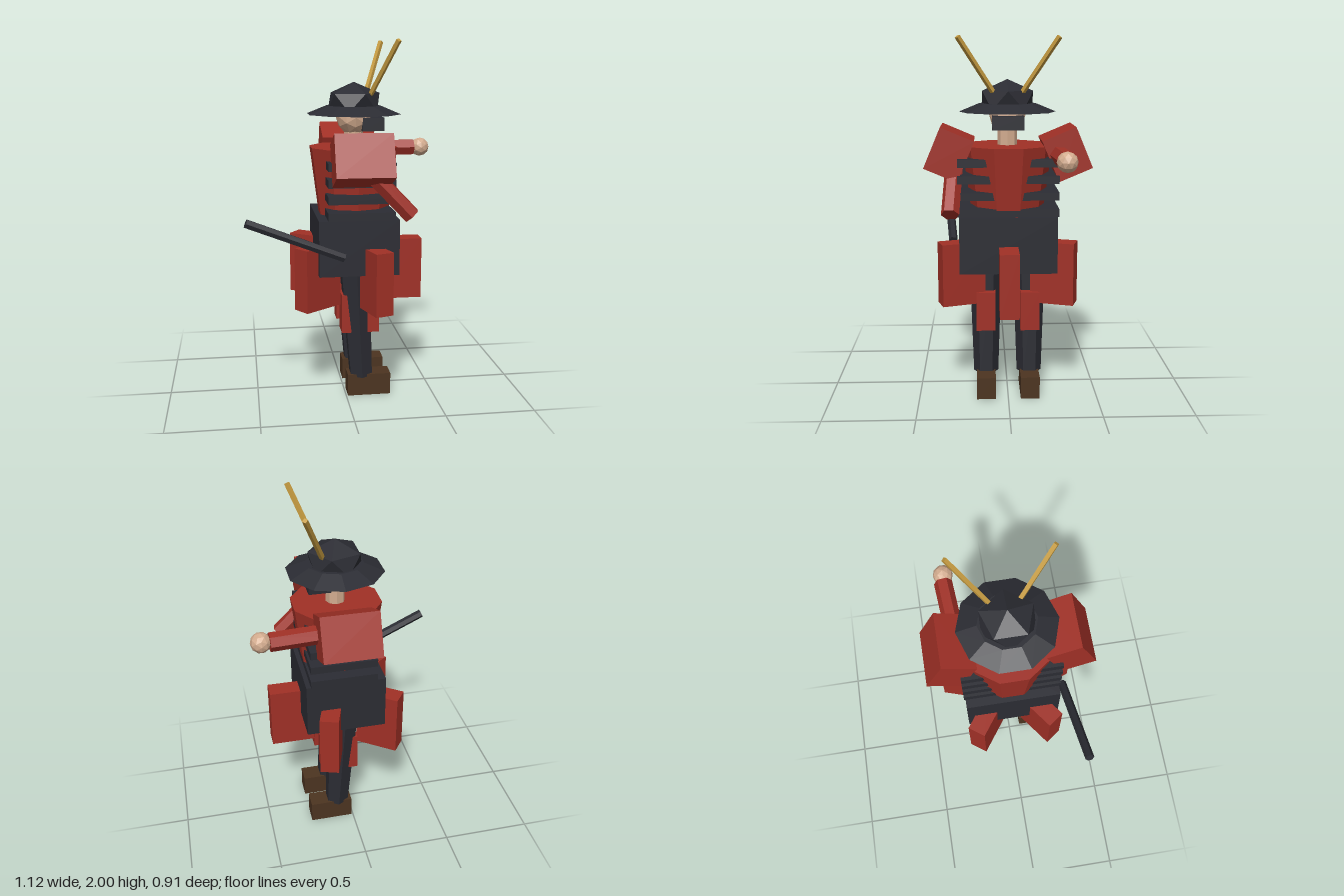
import * as THREE from 'three';

const paint = (name, color) => {
  const m = new THREE.MeshStandardMaterial({ color, flatShading: true });
  m.name = name;
  return m;
};

export function createModel() {
  const red = paint('lacquer red', 0xa03026);
  const dark = paint('charcoal', 0x2b2c33);
  const brown = paint('boot brown', 0x4c3420);
  const skin = paint('skin', 0xd2ab8e);
  const gold = paint('gold', 0xc49a40);

  const CX = 0.063; // body axis; the figure faces +x
  const model = new THREE.Group();
  model.name = 'armouredFigure';

  const add = (name, geometry, material, x = 0, y = 0, z = 0) => {
    const mesh = new THREE.Mesh(geometry, material);
    mesh.name = name;
    mesh.position.set(x, y, z);
    model.add(mesh);
    return mesh;
  };
  // Box given by its extents
  const box = (name, material, x0, x1, y0, y1, z0, z1) =>
    add(name, new THREE.BoxGeometry(x1 - x0, y1 - y0, z1 - z0), material,
      (x0 + x1) / 2, (y0 + y1) / 2, (z0 + z1) / 2);
  // Straight faceted rod between two points
  const rod = (name, material, from, to, r, sides) => {
    const a = new THREE.Vector3(...from), b = new THREE.Vector3(...to);
    const dir = b.clone().sub(a);
    const mid = a.clone().add(b).multiplyScalar(0.5);
    const mesh = add(name, new THREE.CylinderGeometry(r, r, dir.length(), sides), material, mid.x, mid.y, mid.z);
    mesh.quaternion.setFromUnitVectors(new THREE.Vector3(0, 1, 0), dir.normalize());
    return mesh;
  };

  // Paired parts
  for (const s of [1, -1]) {
    const side = s > 0 ? 'right' : 'left';
    const z = s * 0.123;
    box(side + 'Boot', brown, 0.01, 0.255, 0, 0.125, z - 0.053, z + 0.053);

    // Leg tapers down and leans slightly forward
    const leg = new THREE.CylinderGeometry(0.093, 0.07, 0.69, 6);
    leg.applyMatrix4(new THREE.Matrix4().makeShear(0, 0, -0.03, 0, 0, 0));
    const p = leg.attributes.position;
    for (let i = 0; i < p.count; i++) p.setX(i, p.getX(i) - (p.getY(i) > 0 ? 0.01 : -0.01));
    leg.computeVertexNormals();
    add(side + 'Leg', leg, dark, 0.07, 0.455, z);

    box(side + 'KneeGuard', red, -0.025, 0.185, 0.38, 0.6, z - 0.053, z + 0.053);

    // Tilted shoulder plate
    const plate = box(side + 'ShoulderPlate', red, -0.09, 0.22, 1.256, 1.494, s * 0.318 - 0.098, s * 0.318 + 0.098);
    plate.rotation.x = -s * 0.4;

    rod(side + 'HatHorn', gold, [0.145, 1.705, s * 0.08], [0.26, 1.99, s * 0.263], 0.015, 4);
  }

  // Pelvis and radial skirt panels
  box('pelvis', dark, -0.16, 0.28, 0.735, 1.043, -0.265, 0.265);
  for (let i = 0; i < 5; i++) {
    const pivot = new THREE.Group();
    pivot.name = 'skirtPanel' + (i + 1);
    pivot.position.set(0.06, 0.71, 0);
    pivot.rotation.y = (i * Math.PI * 2) / 5;
    const panel = new THREE.Mesh(new THREE.BoxGeometry(0.245, 0.35, 0.104), red);
    panel.name = 'panel';
    panel.position.x = 0.27;
    pivot.add(panel);
    model.add(pivot);
  }

  // Torso and rib bands
  add('torso', new THREE.CylinderGeometry(0.25, 0.2, 0.375, 10), red, 0.06, 1.228, 0);
  for (let i = 0; i < 4; i++) {
    const y = 1.065 + i * 0.0895;
    box('ribBand' + (i + 1), dark, -0.11, 0.255, y - 0.021, y + 0.021, -0.273, 0.273);
  }

  // Arms and scabbard
  rod('leftArm', red, [0.08, 1.372, -0.262], [0.465, 1.372, -0.29], 0.05, 6);
  add('leftHand', new THREE.IcosahedronGeometry(0.055, 1), skin, 0.508, 1.373, -0.285);
  rod('rightArm', red, [0.08, 1.34, 0.29], [0.333, 1.075, 0.31], 0.049, 6);
  rod('scabbard', dark, [-0.55, 1.065, 0.352], [-0.03, 0.852, 0.307], 0.025, 6);

  // Neck, head and face mask
  add('neck', new THREE.CylinderGeometry(0.053, 0.053, 0.13, 8), skin, CX, 1.465, 0);
  add('head', new THREE.IcosahedronGeometry(0.1, 1), skin, CX, 1.58, 0);
  box('faceMask', dark, 0.1, 0.222, 1.505, 1.578, -0.085, 0.085);

  // Hat: sloping brim and a squashed faceted crown with one corner up
  add('hatBrim', new THREE.CylinderGeometry(0.155, 0.265, 0.045, 10), dark, CX, 1.618, 0);
  const crown = new THREE.IcosahedronGeometry(0.162, 0);
  crown.rotateX(-Math.atan((1 + Math.sqrt(5)) / 2));
  crown.rotateY(Math.PI / 2);
  crown.scale(1, 0.68, 1);
  add('hatCrown', crown, dark, CX, 1.66, 0);

  return model;
}
